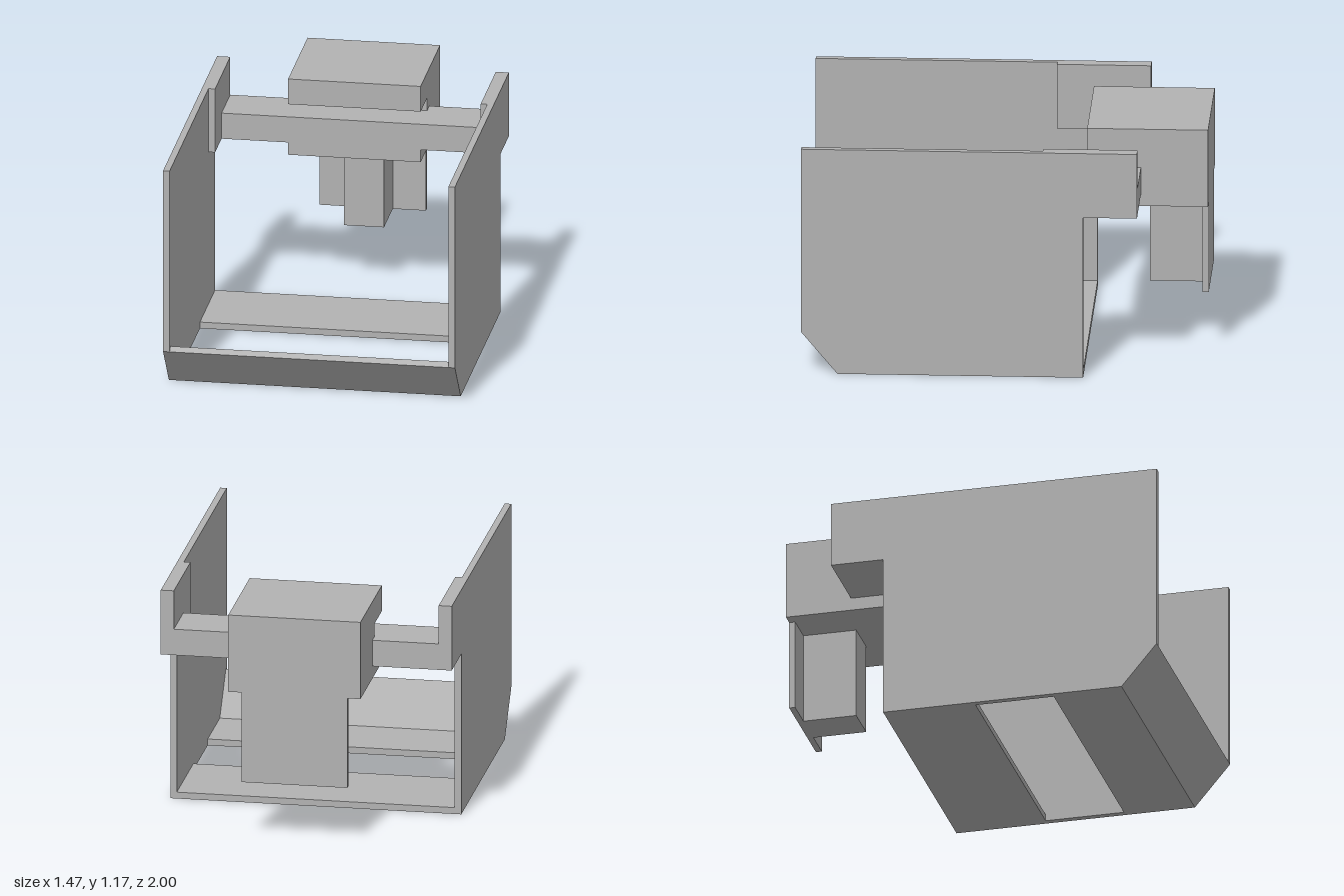
import * as THREE from 'three';

const grey = new THREE.MeshStandardMaterial({ color: 0xb2b2b2 });
grey.name = 'plain grey';

// Solid with a [z, y] side profile, spanning x0..x1
function profile(name, points, x0, x1) {
  const shape = new THREE.Shape(points.map(([z, y]) => new THREE.Vector2(z, y)));
  const geo = new THREE.ExtrudeGeometry(shape, { depth: x1 - x0, bevelEnabled: false });
  geo.rotateY(-Math.PI / 2);
  geo.translate(x1, 0, 0);
  const mesh = new THREE.Mesh(geo, grey);
  mesh.name = name;
  return mesh;
}

// Box given by its limits on each axis
function block(name, [x0, x1], [y0, y1], [z0, z1]) {
  const mesh = new THREE.Mesh(new THREE.BoxGeometry(x1 - x0, y1 - y0, z1 - z0), grey);
  mesh.name = name;
  mesh.position.set((x0 + x1) / 2, (y0 + y1) / 2, (z0 + z1) / 2);
  return mesh;
}

export function createModel() {
  const model = new THREE.Group();
  model.name = 'bracket';

  const outer = 0.733, inner = 0.7, pad = 0.667, head = 0.333;
  const top = 1.17, barLow = 0.835, barTop = 0.97, thick = 0.033;

  // Side panels with a cut front corner and a raised rear arm
  const panel = [[-0.4, 0], [0.82, 0], [1, 0.215], [1, top], [-0.667, top], [-0.667, barLow], [-0.4, barLow]];
  for (const [side, s] of [['left', 1], ['right', -1]]) {
    const span = (a, b) => (s > 0 ? [a, b] : [-b, -a]);
    model.add(profile(side + 'Panel', panel, ...span(inner, outer)));
    // Thickened arm and half of the crossbar
    model.add(block(side + 'ArmPad', span(pad, inner), [barLow, top], [-0.667, -0.2]));
    model.add(block(side + 'Crossbar', span(head, pad), [barLow, barTop], [-0.667, -0.4]));
  }

  // Floor: rear plate, and front plate bent up into a sloped lip
  model.add(block('rearFloor', [-inner, inner], [0, thick], [-0.4, 0.065]));
  model.add(profile('frontFloor', [
    [0.465, 0], [0.82, 0], [1, 0.215], [0.975, 0.236], [0.805, thick], [0.465, thick],
  ], -inner, inner));

  // Head block with a slot above the crossbar
  model.add(profile('head', [
    [-1, 0.77], [-0.4, 0.77], [-0.4, barTop], [-0.6, barTop],
    [-0.6, 1.037], [-0.4, 1.037], [-0.4, top], [-1, top],
  ], -head, head));

  // Hanging back plate and its central rib
  model.add(block('backPlate', [-0.267, 0.267], [0.303, 0.77], [-1, -0.97]));
  model.add(block('rib', [-0.1, 0.1], [0.303, 0.77], [-0.97, -0.7]));

  return model;
}
